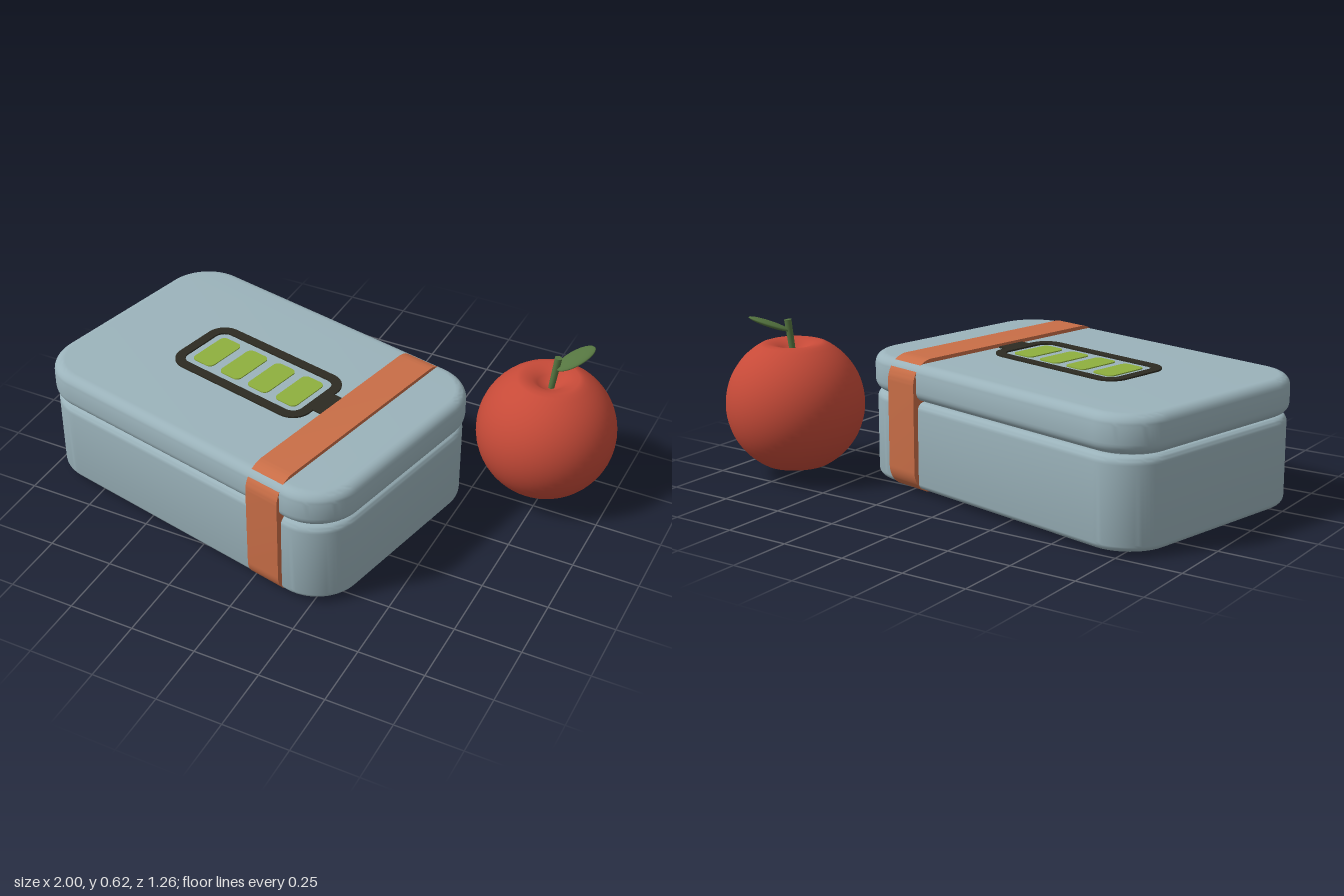
import * as THREE from 'three';
import { toCreasedNormals } from 'three/addons/utils/BufferGeometryUtils.js';

const mat = (name, color) => {
  const m = new THREE.MeshStandardMaterial({ color });
  m.name = name;
  return m;
};

// Rounded rectangle centred on the origin
function roundRect(w, h, r, Kind = THREE.Shape) {
  const s = new Kind(), x = w / 2 - r, y = h / 2 - r;
  s.absarc(x, y, r, 0, Math.PI / 2);
  s.absarc(-x, y, r, Math.PI / 2, Math.PI);
  s.absarc(-x, -y, r, Math.PI, Math.PI * 1.5);
  s.absarc(x, -y, r, Math.PI * 1.5, Math.PI * 2);
  s.closePath();
  return s;
}

// Horizontal slab between two heights, with rounded corners and rolled edges
function slab(w, d, r, y0, y1, bevel) {
  const g = new THREE.ExtrudeGeometry(roundRect(w - 2 * bevel, d - 2 * bevel, r - bevel), {
    depth: y1 - y0 - 2 * bevel, curveSegments: 10,
    bevelThickness: bevel, bevelSize: bevel, bevelSegments: 7,
  });
  g.rotateX(-Math.PI / 2).translate(0, y0 + bevel, 0);
  return toCreasedNormals(g, 0.5);
}

// Thin plate lying on the lid
function plate(shape, y0, height) {
  const g = new THREE.ExtrudeGeometry(shape, { depth: height, bevelEnabled: false, curveSegments: 6 });
  return g.rotateX(-Math.PI / 2).translate(0, y0, 0);
}

export function createModel() {
  const model = new THREE.Group();
  const blue = mat('blueGrey', 0x9bb3bb), orange = mat('orange', 0xc96e47);
  const dark = mat('charcoal', 0x2d2b22), lime = mat('lime', 0x8fb03e);
  const red = mat('red', 0xc64a38), green = mat('leafGreen', 0x557540);

  const add = (parent, name, geometry, material) => {
    const mesh = new THREE.Mesh(geometry, material);
    mesh.name = name;
    parent.add(mesh);
    return mesh;
  };

  // Lunch box, turned slightly on the table
  const box = new THREE.Group();
  box.name = 'lunchBox';
  box.position.set(-0.255, 0, 0.055);
  box.rotation.y = -0.21;
  model.add(box);
  add(box, 'base', slab(1.38, 0.925, 0.175, 0.017, 0.35, 0.03), blue);
  add(box, 'neck', slab(1.32, 0.865, 0.145, 0.3, 0.4, 0.01), blue);
  add(box, 'lid', slab(1.393, 0.94, 0.18, 0.353, 0.491, 0.04), blue);

  // Strap wrapped around the box
  const strap = new THREE.ExtrudeGeometry(roundRect(0.966, 0.505, 0.09), {
    depth: 0.14, bevelEnabled: false, curveSegments: 10,
  });
  strap.translate(0, 0, -0.07).rotateY(Math.PI / 2).translate(0.426, 0.2525, 0);
  add(box, 'strap', toCreasedNormals(strap, 0.5), orange);

  // Battery emblem on the lid
  const ring = roundRect(0.624, 0.31, 0.075);
  ring.holes.push(roundRect(0.55, 0.236, 0.04, THREE.Path));
  add(box, 'emblemOutline', plate(ring, 0.488, 0.009), dark);
  const tip = add(box, 'emblemTip', new THREE.BoxGeometry(0.04, 0.009, 0.12), dark);
  tip.position.set(0.33, 0.4925, 0);
  for (let i = 0; i < 4; i++) {
    const bar = add(box, 'emblemBar', plate(roundRect(0.095, 0.18, 0.022), 0.488, 0.007), lime);
    bar.position.x = -0.2 + i * 0.1333;
  }

  // Apple with hollows at top and bottom
  const apple = new THREE.Group();
  apple.name = 'apple';
  apple.position.set(0.735, 0.28, -0.366);
  model.add(apple);
  const R = 0.262, profile = [];
  const hollow = [[0, -0.19], [0.025, -0.195], [0.05, -0.214], [0.07, -0.228]];
  for (const [x, y] of hollow) profile.push(new THREE.Vector2(x, y));
  for (let i = 0; i <= 28; i++) {
    const a = THREE.MathUtils.lerp(-1.16, 1.16, i / 28);
    profile.push(new THREE.Vector2(R * Math.cos(a), R * Math.sin(a) * (Math.abs(a) > 1.1 ? 0.985 : 1)));
  }
  for (const [x, y] of hollow.slice().reverse()) profile.push(new THREE.Vector2(x, -y));
  add(apple, 'appleBody', new THREE.LatheGeometry(profile, 48), red);

  // Leaning stem
  const from = new THREE.Vector3(0, 0.16, 0), to = new THREE.Vector3(0.018, 0.322, -0.009);
  const stem = add(apple, 'stem', new THREE.CylinderGeometry(0.014, 0.011, from.distanceTo(to), 12), green);
  stem.position.copy(from).lerp(to, 0.5);
  stem.quaternion.setFromUnitVectors(new THREE.Vector3(0, 1, 0), to.clone().sub(from).normalize());

  // Flattened leaf pointing up and back
  const leaf = add(apple, 'leaf', new THREE.SphereGeometry(1, 24, 16), green);
  leaf.scale.set(0.04, 0.011, 0.083);
  leaf.position.set(0.068, 0.307, -0.055);
  leaf.lookAt(leaf.position.clone().add(new THREE.Vector3(0.1, 0.06, -0.115)).add(apple.position));
  // lookAt works in world space while the apple is only translated
  leaf.quaternion.setFromRotationMatrix(new THREE.Matrix4().lookAt(
    new THREE.Vector3(0.1, 0.06, -0.115), new THREE.Vector3(), new THREE.Vector3(0, 1, 0)));

  return model;
}
